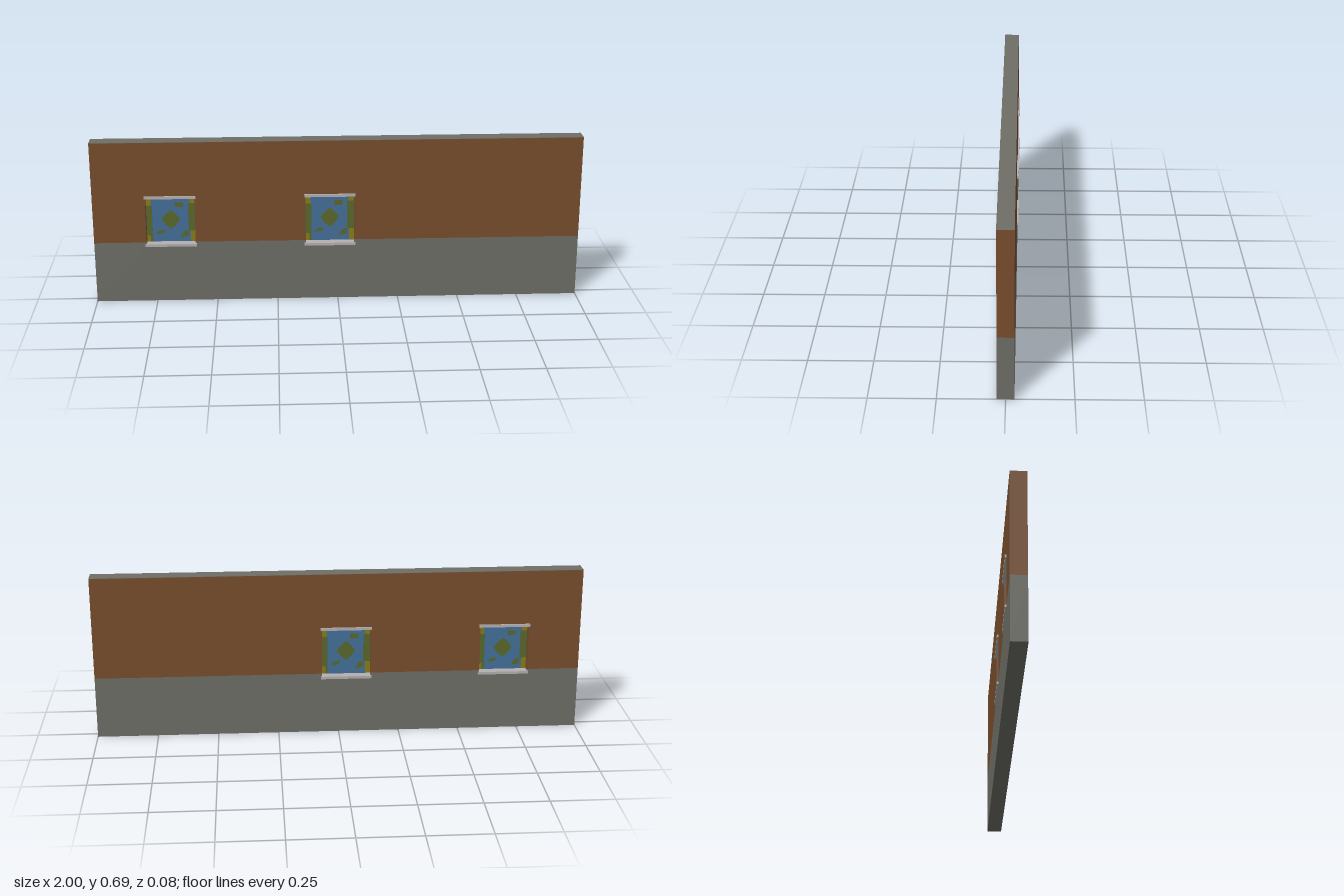
import * as THREE from 'three';

const mat = (name, color) => {
  const m = new THREE.MeshStandardMaterial({ color });
  m.name = name;
  return m;
};

export function createModel() {
  const root = new THREE.Group();
  root.name = 'wallWithWindows';
  const brown = mat('brown plaster', 0x774d2d);
  const gray = mat('gray stone', 0x6e6e67);
  const trim = mat('light trim', 0xb4b0b2);
  const blue = mat('blue glass', 0x44709a);
  const olive = mat('olive glass', 0x59682c);
  const yellow = mat('yellow glass', 0x8c7c14);

  const DEPTH = 0.064, BASE = 0.258, TOP = 0.685, LOW = 0.245, HIGH = 0.45, HALF = 0.1;
  const windows = [{ x: -0.685, sill: 0.247 }, { x: -0.032, sill: 0.242 }];

  const add = (parent, name, geo, material, x = 0, y = 0, z = 0) => {
    const mesh = new THREE.Mesh(geo, material);
    mesh.name = name;
    mesh.position.set(x, y, z);
    parent.add(mesh);
    return mesh;
  };
  const box = (parent, name, w, h, d, material, x, y, z) =>
    add(parent, name, new THREE.BoxGeometry(w, h, d), material, x, y, z);
  const extrude = (pts, depth) => new THREE.ExtrudeGeometry(
    new THREE.Shape(pts.map(p => new THREE.Vector2(...p))), { depth, bevelEnabled: false });

  // Outline edge along the colour line, notched at each window to height y
  const notchedEdge = y => windows.flatMap(w => [
    [w.x - HALF, BASE], [w.x - HALF, y], [w.x + HALF, y], [w.x + HALF, BASE]]);

  // Stone base, with shallow notches for the window bottoms
  add(root, 'wallBase', extrude(
    [[-1, 0], [1, 0], [1, BASE], ...notchedEdge(LOW).reverse(), [-1, BASE]], DEPTH),
  gray, 0, 0, -DEPTH / 2);
  // Plaster upper wall, open at each window
  add(root, 'upperWall', extrude(
    [[-1, BASE], ...notchedEdge(HIGH), [1, BASE], [1, TOP - 0.001], [-1, TOP - 0.001]], DEPTH),
  brown, 0, 0, -DEPTH / 2);
  box(root, 'wallCap', 2, 0.001, DEPTH, gray, 0, TOP - 0.0005, 0);

  // Stained glass, painted on both faces of the pane
  const strip = (x0, y0, x1, y1) => [[x0, y0], [x1, y0], [x1, y1], [x0, y1]];
  const oliveShapes = [
    strip(-0.1, -0.1, -0.076, 0.06),
    strip(0.072, -0.05, 0.1, 0.07),
    [[0, -0.042], [0.022, -0.025], [0.038, 0], [0.022, 0.022], [0, 0.04], [-0.022, 0.022], [-0.038, 0], [-0.022, -0.025]],
    strip(0.018, 0.052, 0.052, 0.072),
    [[-0.062, -0.065], [-0.03, -0.06], [-0.022, -0.046], [-0.05, -0.048]],
    [[0.035, -0.08], [0.07, -0.075], [0.072, -0.05], [0.055, -0.052]],
  ];
  const yellowShapes = [
    strip(-0.1, 0.06, -0.08, 0.1),
    strip(0.078, 0.07, 0.1, 0.1),
    strip(0.08, -0.1, 0.1, -0.05),
    strip(-0.1, -0.1, -0.085, -0.07),
  ];

  windows.forEach(({ x, sill }, i) => {
    const g = new THREE.Group();
    g.name = `window${i + 1}`;
    g.position.x = x;
    root.add(g);
    box(g, 'lintel', 0.21, 0.011, 0.078, trim, 0, 0.452, 0);
    box(g, 'sill', 0.21, 0.011, 0.078, trim, 0, sill - 0.001, 0);
    box(g, 'pane', 2 * HALF, HIGH - LOW, 0.006, blue, 0, (HIGH + LOW) / 2, 0);
    [0, Math.PI].forEach(turn => {
      const face = new THREE.Group();
      face.name = turn ? 'backPattern' : 'frontPattern';
      face.position.y = 0.348;
      face.rotation.y = turn;
      g.add(face);
      oliveShapes.forEach(s => add(face, 'oliveGlass', extrude(s, 0.001), olive, 0, 0, 0.003));
      yellowShapes.forEach(s => add(face, 'yellowGlass', extrude(s, 0.0015), yellow, 0, 0, 0.003));
    });
  });
  return root;
}
